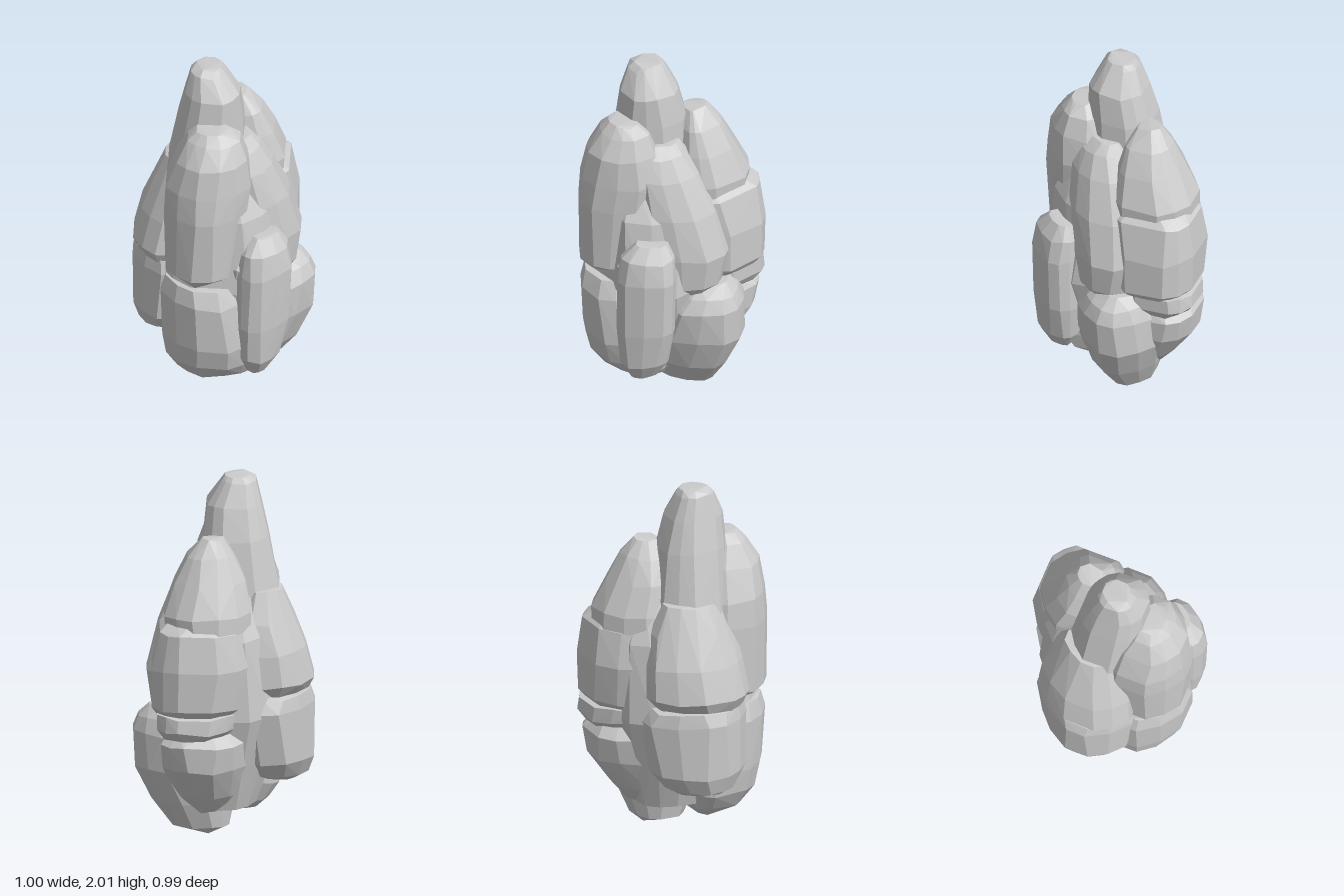
import * as THREE from 'three';
import { ConvexGeometry } from 'three/addons/geometries/ConvexGeometry.js';

const stone = new THREE.MeshStandardMaterial({ color: 0xcccccc, flatShading: true });

// Small repeatable wobble so that the facets are uneven
let seed = 7;
const wobble = (amount) => {
  seed = (seed * 16807) % 2147483647;
  return (seed / 2147483647 - 0.5) * 2 * amount;
};

// One boulder: a faceted hull through chamfered rings [y, x0, x1, z0, z1].
// chamfers: share of the side cut from each corner (+x+z, -x+z, -x-z, +x-z)
function boulder(name, rings, chamfers = [0.3, 0.3, 0.3, 0.3]) {
  const signs = [[1, 1], [-1, 1], [-1, -1], [1, -1]];
  const points = [];
  for (const [y, x0, x1, z0, z1] of rings) {
    const w = x1 - x0, d = z1 - z0;
    signs.forEach(([sx, sz], i) => {
      const c = chamfers[i] + wobble(0.04);
      const x = sx > 0 ? x1 : x0, z = sz > 0 ? z1 : z0;
      points.push(
        new THREE.Vector3(x - sx * c * w, y + wobble(0.012), z),
        new THREE.Vector3(x - sx * c * w * 0.42, y, z - sz * c * d * 0.42),
        new THREE.Vector3(x, y + wobble(0.012), z - sz * c * d));
    });
  }
  const mesh = new THREE.Mesh(new ConvexGeometry(points), stone);
  mesh.name = name;
  return mesh;
}

export function createModel() {
  const group = new THREE.Group();
  group.name = 'rockCluster';
  group.add(
    // Tall spire and the hidden core that closes the crevices
    boulder('spire', [
      [0.6, -0.34, 0.1, -0.24, 0.2],
      [1.3, -0.32, 0.12, -0.19, 0.23],
      [1.66, -0.25, 0.11, -0.14, 0.23],
      [1.84, -0.21, 0.09, -0.09, 0.22],
      [1.97, -0.18, 0.01, -0.04, 0.16],
      [1.995, -0.15, -0.01, -0.02, 0.13],
    ]),
    boulder('core', [
      [0.15, -0.18, 0.22, -0.24, 0.26],
      [0.7, -0.36, 0.34, -0.38, 0.4],
      [1.15, -0.26, 0.3, -0.36, 0.38],
      [1.4, -0.16, 0.16, -0.25, 0.28],
    ]),

    // Front column, upper and lower
    boulder('frontUpperRock', [
      [0.75, -0.24, 0.0, 0.12, 0.4],
      [0.82, -0.31, 0.08, 0.08, 0.47],
      [1.2, -0.32, 0.14, 0.06, 0.49],
      [1.36, -0.31, 0.16, 0.06, 0.475],
      [1.53, -0.25, 0.14, 0.1, 0.45],
      [1.65, -0.19, 0.1, 0.16, 0.38],
      [1.7, -0.14, 0.04, 0.2, 0.33],
    ], [0.36, 0.36, 0.2, 0.2]),
    boulder('frontLowerRock', [
      [0.08, -0.18, 0.12, 0.06, 0.25],
      [0.12, -0.25, 0.16, 0.03, 0.34],
      [0.22, -0.31, 0.18, 0.0, 0.42],
      [0.36, -0.33, 0.18, 0.0, 0.46],
      [0.64, -0.34, 0.14, 0.0, 0.475],
      [0.74, -0.31, 0.1, 0.02, 0.44],
    ], [0.3, 0.38, 0.2, 0.2]),
    boulder('frontSideRock', [
      [0.18, 0.14, 0.26, 0.24, 0.38],
      [0.28, 0.1, 0.32, 0.19, 0.44],
      [0.5, 0.08, 0.37, 0.17, 0.465],
      [0.84, 0.08, 0.385, 0.17, 0.47],
      [0.97, 0.11, 0.36, 0.18, 0.445],
      [1.05, 0.16, 0.31, 0.2, 0.37],
    ], [0.48, 0.25, 0.25, 0.25]),
    boulder('frontWedge', [
      [0.72, 0.0, 0.25, 0.15, 0.38],
      [0.86, 0.02, 0.24, 0.15, 0.41],
      [0.94, 0.08, 0.2, 0.18, 0.36],
    ]),

    // Side rocks on +x
    boulder('sideMiddleRock', [
      [0.64, 0.06, 0.34, -0.14, 0.16],
      [0.72, 0.02, 0.4, -0.19, 0.22],
      [0.92, 0.0, 0.425, -0.21, 0.25],
      [1.17, 0.0, 0.36, -0.17, 0.26],
      [1.38, 0.0, 0.27, -0.1, 0.26],
      [1.5, 0.02, 0.2, -0.04, 0.22],
      [1.555, 0.05, 0.15, 0.0, 0.16],
    ], [0.42, 0.2, 0.2, 0.3]),
    boulder('sideLowerRock', [
      [0.005, 0.05, 0.18, -0.17, 0.0],
      [0.03, -0.03, 0.28, -0.21, 0.08],
      [0.18, -0.06, 0.4, -0.26, 0.16],
      [0.38, 0.0, 0.49, -0.3, 0.18],
      [0.58, 0.1, 0.5, -0.28, 0.16],
      [0.66, 0.18, 0.47, -0.23, 0.1],
      [0.71, 0.25, 0.41, -0.17, 0.03],
    ], [0.42, 0.3, 0.3, 0.36]),

    // Back column in three stacked pieces
    boulder('backUpperRock', [
      [1.16, -0.15, 0.32, -0.45, 0.0],
      [1.29, -0.15, 0.33, -0.445, 0.0],
      [1.46, -0.12, 0.27, -0.37, -0.02],
      [1.6, -0.06, 0.2, -0.295, -0.05],
      [1.69, 0.0, 0.12, -0.23, -0.1],
    ], [0.2, 0.25, 0.36, 0.3]),
    boulder('backMiddleRock', [
      [0.69, -0.06, 0.34, -0.4, -0.05],
      [0.77, -0.14, 0.4, -0.485, -0.02],
      [1.0, -0.17, 0.4, -0.495, 0.0],
      [1.2, -0.15, 0.355, -0.465, 0.0],
      [1.26, -0.1, 0.3, -0.41, -0.04],
    ], [0.25, 0.25, 0.38, 0.24]),
    boulder('backLedge', [
      [0.6, -0.04, 0.33, -0.45, -0.1],
      [0.65, -0.08, 0.37, -0.488, -0.08],
      [0.74, -0.1, 0.37, -0.48, -0.08],
    ], [0.25, 0.25, 0.38, 0.28]),
    boulder('backLowerRock', [
      [0.14, -0.04, 0.2, -0.25, -0.02],
      [0.24, -0.1, 0.28, -0.34, -0.02],
      [0.42, -0.13, 0.34, -0.46, -0.04],
      [0.56, -0.12, 0.35, -0.475, -0.06],
      [0.64, -0.06, 0.3, -0.42, -0.1],
    ], [0.25, 0.25, 0.38, 0.3]),

    // Flank rocks on -x, split by a crevice
    boulder('flankUpperRock', [
      [0.79, -0.46, -0.1, -0.26, 0.22],
      [0.86, -0.5, -0.05, -0.31, 0.25],
      [1.05, -0.455, -0.05, -0.3, 0.23],
      [1.22, -0.39, -0.08, -0.26, 0.19],
      [1.38, -0.325, -0.12, -0.19, 0.12],
    ], [0.2, 0.32, 0.42, 0.25]),
    boulder('flankLowerRock', [
      [0.3, -0.43, -0.22, -0.16, 0.12],
      [0.32, -0.47, -0.16, -0.21, 0.17],
      [0.42, -0.5, -0.1, -0.28, 0.23],
      [0.72, -0.505, -0.05, -0.33, 0.25],
      [0.8, -0.48, -0.08, -0.29, 0.23],
    ], [0.2, 0.34, 0.42, 0.25]),
  );
  return group;
}
